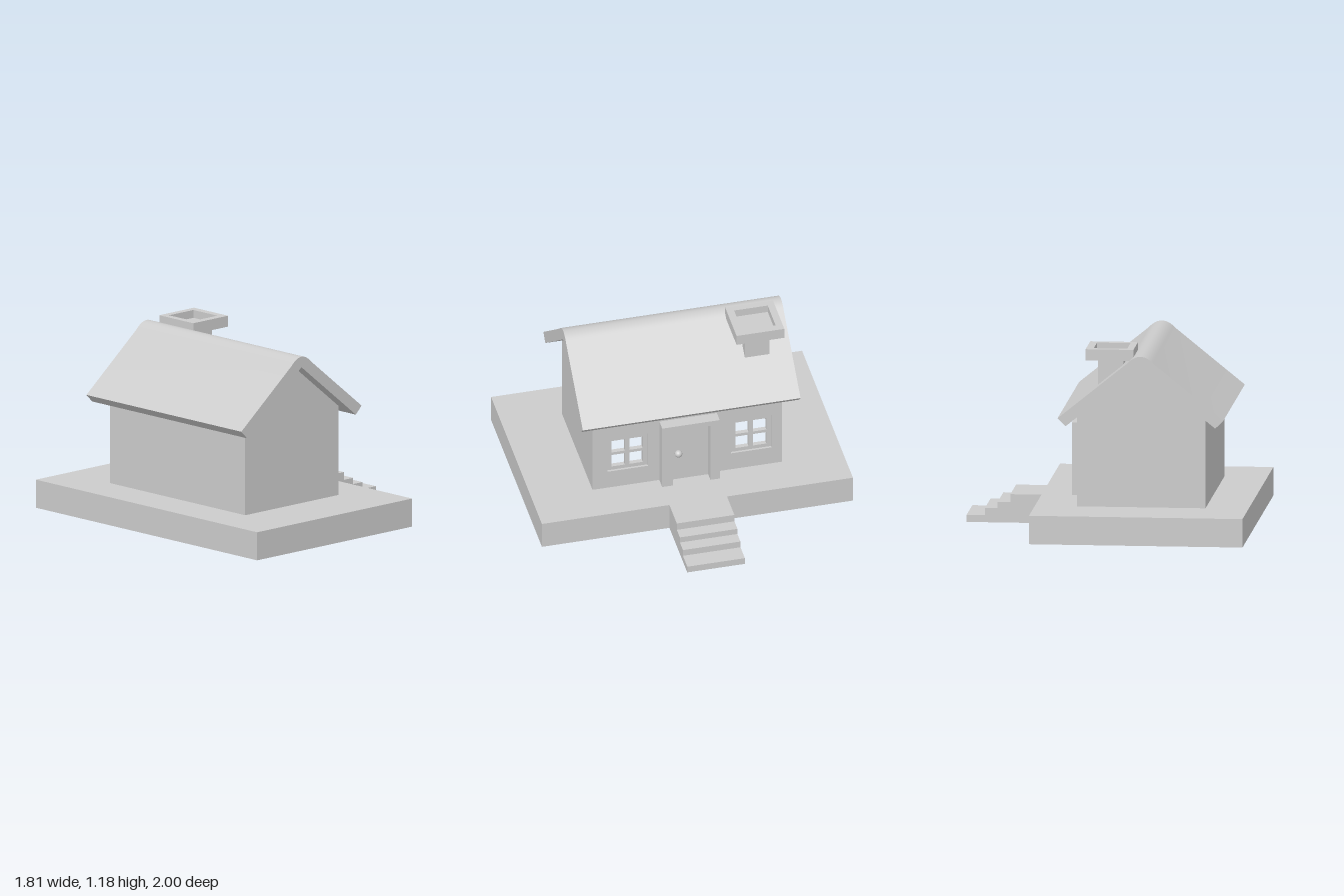
import * as THREE from 'three';
import { toCreasedNormals } from 'three/addons/utils/BufferGeometryUtils.js';

const material = new THREE.MeshStandardMaterial({ color: 0xcccccc, side: THREE.DoubleSide });

function add(parent, name, geometry, x = 0, y = 0, z = 0) {
  const mesh = new THREE.Mesh(geometry, material);
  mesh.name = name;
  mesh.position.set(x, y, z);
  parent.add(mesh);
  return mesh;
}

const box = (parent, name, x0, x1, y0, y1, z0, z1) =>
  add(parent, name, new THREE.BoxGeometry(x1 - x0, y1 - y0, z1 - z0),
    (x0 + x1) / 2, (y0 + y1) / 2, (z0 + z1) / 2);

const polygon = (points) => new THREE.Shape(points.map(([x, y]) => new THREE.Vector2(x, y)));
const rect = (x0, x1, y0, y1) => polygon([[x0, y0], [x1, y0], [x1, y1], [x0, y1]]);

// Open sheet made by sliding a 3D polyline along a vector.
function sweep(points, [dx, dy, dz]) {
  const v = [];
  for (let i = 0; i + 1 < points.length; i++) {
    const a = points[i], b = points[i + 1];
    const c = [b[0] + dx, b[1] + dy, b[2] + dz], d = [a[0] + dx, a[1] + dy, a[2] + dz];
    v.push(...a, ...b, ...c, ...a, ...c, ...d);
  }
  const g = new THREE.BufferGeometry();
  g.setAttribute('position', new THREE.Float32BufferAttribute(v, 3));
  g.computeVertexNormals();
  return g;
}

const DECK = 0.18, STEP_Z0 = -0.19, STEP_Z1 = 0.18;
const WALL = { x0: -0.64, x1: 0.165, z: 0.61, top: 0.75 };
const RIDGE = -0.24;

function buildPlatform(root) {
  const g = new THREE.Group();
  g.name = 'platform';
  root.add(g);
  // Hollow plinth, open below, under the house and behind the steps
  const deck = rect(-0.91, 0.43, -1, 1);
  deck.holes.push(rect(WALL.x0, WALL.x1, -WALL.z, WALL.z));
  add(g, 'deck', new THREE.ShapeGeometry(deck).rotateX(-Math.PI / 2), 0, DECK, 0);
  add(g, 'plinthSides', sweep([[0.43, 0, STEP_Z0], [0.43, 0, -1], [-0.91, 0, -1],
    [-0.91, 0, 1], [0.43, 0, 1], [0.43, 0, STEP_Z1]], [0, DECK, 0]));
  // Steps: treads and risers as one folded sheet with two cheeks
  const profile = [[0.43, DECK], [0.625, DECK], [0.625, 0.13], [0.705, 0.13], [0.705, 0.09],
    [0.785, 0.09], [0.785, 0.045], [0.9, 0.045], [0.9, 0]];
  add(g, 'steps', sweep(profile.map(([x, y]) => [x, y, STEP_Z0]), [0, 0, STEP_Z1 - STEP_Z0]));
  for (const z of [STEP_Z0, STEP_Z1])
    add(g, 'stepCheek', new THREE.ShapeGeometry(polygon([[0.43, 0], ...profile])), 0, 0, z);
}

function buildWalls(root) {
  const g = new THREE.Group();
  g.name = 'walls';
  root.add(g);
  const gable = polygon([[WALL.x0, DECK], [WALL.x1, DECK], [WALL.x1, WALL.top + 0.005],
    [RIDGE, 1.08], [WALL.x0, WALL.top + 0.005]]);
  for (const z of [-WALL.z, WALL.z]) add(g, 'gableWall', new THREE.ShapeGeometry(gable), 0, 0, z);
  add(g, 'backWall', sweep([[WALL.x0, DECK, -WALL.z], [WALL.x0, DECK, WALL.z]], [0, 0.575, 0]));

  // Door wall, drawn facing +z and turned to face +x
  const front = rect(-WALL.z, WALL.z, DECK, WALL.top + 0.005);
  for (const zc of [0.383, -0.412]) {
    const c = -zc, x0 = c - 0.13, x1 = c + 0.13, y0 = 0.305, y1 = 0.56;
    front.holes.push(rect(x0, x1, y0, y1));
    const sash = rect(x0, x1, y0, y1);
    for (const px of [c - 0.1, c + 0.015])
      for (const py of [0.33, 0.44]) sash.holes.push(rect(px, px + 0.085, py, py + 0.09));
    const frame = new THREE.ExtrudeGeometry(sash, { depth: 0.03, bevelEnabled: false });
    add(g, 'windowFrame', frame.rotateY(Math.PI / 2), WALL.x1 - 0.045);
    add(g, 'windowReveal', sweep([[WALL.x1, y0, -x0], [WALL.x1, y0, -x1], [WALL.x1, y1, -x1],
      [WALL.x1, y1, -x0], [WALL.x1, y0, -x0]], [-0.015, 0, 0]));
  }
  add(g, 'doorWall', new THREE.ShapeGeometry(front).rotateY(Math.PI / 2), WALL.x1);
}

function buildDoor(root) {
  const g = new THREE.Group();
  g.name = 'door';
  root.add(g);
  box(g, 'doorPanel', -0.02, 0.18, DECK, 0.64, STEP_Z0, STEP_Z1);
  // Surround with jambs and lintel
  const surround = polygon([[-0.18, DECK], [-0.11, DECK], [-0.11, 0.605], [0.13, 0.605],
    [0.13, DECK], [0.19, DECK], [0.19, 0.64], [-0.18, 0.64]]);
  add(g, 'doorSurround', new THREE.ExtrudeGeometry(surround, { depth: 0.06, bevelEnabled: false })
    .rotateY(Math.PI / 2), 0.18);
  add(g, 'doorKnob', new THREE.SphereGeometry(0.024, 20, 14), 0.198, 0.39, 0.065);
}

function buildRoof(root) {
  // Bent slab with a rounded ridge
  const s = new THREE.Shape();
  s.moveTo(-0.71, 0.7);
  s.lineTo(RIDGE, 1.08);
  s.lineTo(0.23, 0.7);
  s.lineTo(0.28, 0.75);
  s.lineTo(RIDGE + 0.085, 1.102);
  s.quadraticCurveTo(RIDGE, 1.193, RIDGE - 0.085, 1.102);
  s.lineTo(-0.76, 0.75);
  s.closePath();
  const slab = new THREE.ExtrudeGeometry(s, { depth: 1.4, bevelEnabled: false, curveSegments: 14 });
  add(root, 'roof', toCreasedNormals(slab, 0.5), 0, 0, -0.7);
}

function buildChimney(root) {
  const g = new THREE.Group();
  g.name = 'chimney';
  root.add(g);
  box(g, 'chimneyShaft', -0.12, 0.04, 0.9, 1.125, -0.56, -0.4);
  // Cap with a shallow square well
  const rim = rect(-0.19, 0.11, 0.33, 0.637);
  rim.holes.push(rect(-0.147, 0.063, 0.377, 0.593));
  add(g, 'chimneyRim', new THREE.ExtrudeGeometry(rim, { depth: 0.07, bevelEnabled: false })
    .rotateX(-Math.PI / 2), 0, 1.11);
  box(g, 'chimneyWellFloor', -0.147, 0.063, 1.11, 1.13, -0.593, -0.377);
}

export function createModel() {
  const root = new THREE.Group();
  root.name = 'house';
  buildPlatform(root);
  buildWalls(root);
  buildDoor(root);
  buildRoof(root);
  buildChimney(root);
  return root;
}
